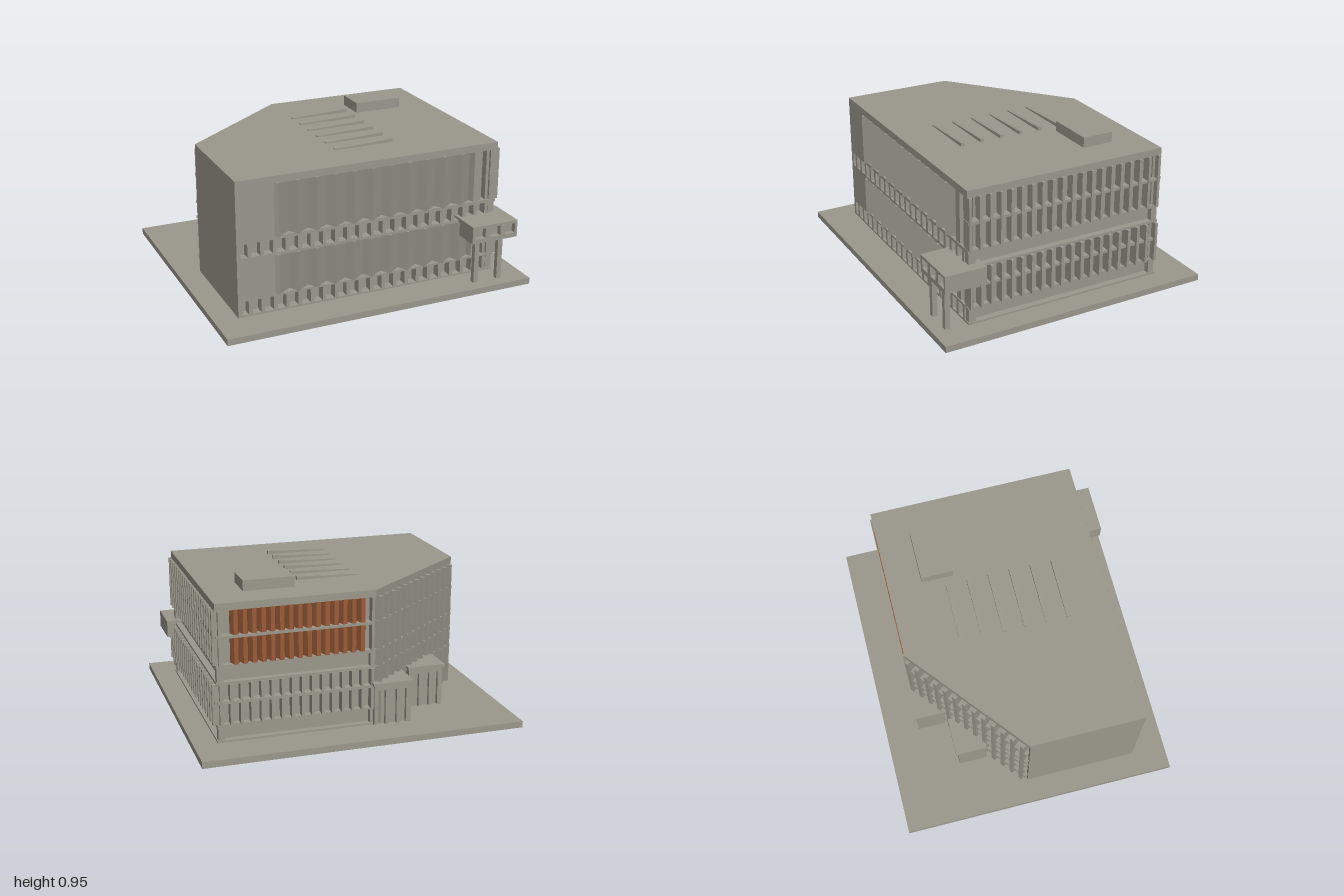
import * as THREE from 'three';

export function createModel() {
  const model = new THREE.Group();
  const concrete = new THREE.MeshStandardMaterial({ color: 0x9b988c });
  concrete.name = 'warm grey';
  const timber = new THREE.MeshStandardMaterial({ color: 0x9a5c38 });
  timber.name = 'brown';

  const add = (name, geo, parent = model, mat = concrete) => {
    const m = new THREE.Mesh(geo, mat);
    m.name = name;
    parent.add(m);
    return m;
  };
  // Box given by its limits on each axis
  const box = (name, x0, x1, y0, y1, z0, z1, parent, mat) => {
    const g = new THREE.BoxGeometry(x1 - x0, y1 - y0, z1 - z0);
    g.translate((x0 + x1) / 2, (y0 + y1) / 2, (z0 + z1) / 2);
    return add(name, g, parent, mat);
  };
  // Upright prism over a plan outline of [x, z] points
  const prism = (name, pts, y0, y1, parent, mat) => {
    const shape = new THREE.Shape(pts.map(([x, z]) => new THREE.Vector2(x, -z)));
    const g = new THREE.ExtrudeGeometry(shape, { depth: y1 - y0, bevelEnabled: false });
    g.rotateX(-Math.PI / 2);
    g.translate(0, y0, 0);
    return add(name, g, parent, mat);
  };
  const group = (name) => {
    const g = new THREE.Group();
    g.name = name;
    model.add(g);
    return g;
  };

  // Ground slab
  box('groundSlab', -1, 1, 0, 0.04, -0.88, 0.88);

  // Recessed core and full-size floor bands, all with one cut corner
  const outline = [[-0.855, -0.05], [-0.12, -0.645], [0.855, -0.645], [0.855, 0.66], [-0.855, 0.66]];
  const inner = [[-0.85, -0.015], [-0.11, -0.605], [0.815, -0.605], [0.815, 0.605], [-0.85, 0.605]];
  prism('core', inner, 0.04, 0.85);
  for (const [y0, y1] of [[0.04, 0.052], [0.14, 0.152], [0.4, 0.415], [0.5, 0.52]]) {
    prism('floorBand', outline, y0, y1);
  }
  prism('roof', outline, 0.845, 0.89);
  box('leftWall', -0.855, -0.83, 0.04, 0.85, -0.05, 0.66);

  // Tall and short storeys
  const tall = [[0.15, 0.402], [0.518, 0.847]];
  const low = [[0.05, 0.142], [0.413, 0.502]];
  const shelves = [0.29, 0.69];

  // Front: sawtooth panels, end wall and corner strip
  const front = group('frontFacade');
  const saw = [[-0.62, 0.59], [-0.62, 0.655]];
  for (let i = 0; i < 11; i++) {
    const x = -0.6 + i * 0.12;
    saw.push([x, 0.676], [x + 0.085, 0.617]);
  }
  saw.push([0.7, 0.655], [0.75, 0.655], [0.75, 0.59]);
  tall.forEach(([y0, y1], i) => {
    prism('sawtoothPanels', saw, y0, y1, front);
    box('frontEndWall', -0.855, -0.62, y0, y1, 0.59, 0.66, front);
    box('cornerPost', 0.785, 0.805, y0, y1, 0.59, 0.65, front);
    box('cornerShelf', 0.805, 0.865, shelves[i] - 0.01, shelves[i] + 0.01, 0.59, 0.66, front);
  });
  // Front: posts between the small openings
  for (const [y0, y1] of low) {
    for (let i = 0; i <= 20; i++) {
      const x = -0.777 + i * 0.0785;
      box('frontPost', x - 0.012, x + 0.012, y0, y1, 0.59, 0.66, front);
    }
  }

  // Right side: fins, shelves and end posts
  const right = group('rightFacade');
  tall.forEach(([y0, y1], i) => {
    const out = i ? 0.872 : 0.88;
    for (let k = 0; k < 20; k++) {
      const z = -0.625 + k * 0.067;
      box('rightFin', 0.81, out, y0, y1, z - 0.009, z + 0.009, right);
    }
    box('rightShelf', 0.81, 0.865, shelves[i] - 0.008, shelves[i] + 0.008, -0.64, 0.65, right);
  });
  for (const [y0, y1] of low) {
    box('rightEndPost', 0.81, 0.85, y0, y1, 0.61, 0.655, right);
    box('rightEndPost', 0.81, 0.85, y0, y1, -0.64, -0.6, right);
  }

  // Back: brown panels above, grey fins below and beside
  const back = group('backFacade');
  const pleats = [[0.76, -0.595], [-0.065, -0.595]];
  for (let i = 0; i < 15; i++) {
    const x = -0.065 + i * 0.055;
    pleats.push([x, -0.61], [x + 0.015, -0.65], [x + 0.04, -0.65]);
  }
  pleats.push([0.76, -0.61]);
  prism('brownPanels', pleats, 0.518, 0.847, back, timber);
  tall.forEach(([y0, y1], i) => {
    for (let k = 0; k < 16; k++) {
      const x = -0.1 + k * 0.062;
      if (i && x > -0.06 && x < 0.77) continue;
      box('backFin', x - 0.009, x + 0.009, y0, y1, -0.655, -0.6, back);
    }
    box('backShelf', -0.11, 0.85, shelves[i] - 0.008, shelves[i] + 0.008, -0.656, -0.6, back);
  });
  for (const [y0, y1] of low) {
    box('backEndPost', -0.12, -0.09, y0, y1, -0.64, -0.6, back);
  }

  // Cut corner: tall fins with cross shelves, built along local x
  const diagonal = group('diagonalFacade');
  diagonal.position.set(-0.855, 0, -0.05);
  diagonal.rotation.y = Math.atan2(0.595, 0.735);
  for (let k = 0; k < 13; k++) {
    const x = 0.045 + k * 0.0725;
    box('diagonalFin', x - 0.013, x + 0.013, 0.05, 0.847, -0.025, 0.04, diagonal);
  }
  for (const y of [0.146, 0.29, 0.407, 0.51, 0.69]) {
    box('diagonalShelf', 0.01, 0.935, y - 0.009, y + 0.009, -0.016, 0.04, diagonal);
  }

  // Two small porches at the cut corner
  for (const [x0, x1, z0, z1] of [[-0.65, -0.405, -0.47, -0.27], [-0.355, -0.1, -0.68, -0.48]]) {
    const porch = group('porch');
    box('porchRoof', x0, x1, 0.295, 0.312, z0, z1, porch);
    box('porchBody', x0 + 0.01, x1 - 0.01, 0.04, 0.295, z0 + 0.035, z1, porch);
    box('porchSide', x0 + 0.01, x0 + 0.04, 0.04, 0.295, z0 + 0.015, z1, porch);
    box('porchHead', x0 + 0.01, x1 - 0.01, 0.26, 0.295, z0 + 0.015, z1, porch);
    for (let i = 1; i <= 3; i++) {
      const x = x0 + 0.02 + i * (x1 - x0 - 0.04) / 3;
      box('porchPost', x - 0.01, x + 0.01, 0.04, 0.26, z0 + 0.015, z0 + 0.05, porch);
    }
  }

  // Entrance canopy with three openings in its front, on two columns
  const canopy = group('entranceCanopy');
  box('canopyBody', 0.6, 0.915, 0.32, 0.43, 0.57, 0.8, canopy);
  const face = new THREE.Shape();
  face.moveTo(0.6, 0.32).lineTo(0.915, 0.32).lineTo(0.915, 0.43).lineTo(0.6, 0.43).closePath();
  for (const x of [0.62, 0.725, 0.828]) {
    const hole = new THREE.Path();
    hole.moveTo(x, 0.348).lineTo(x, 0.412).lineTo(x + 0.07, 0.412).lineTo(x + 0.07, 0.348).closePath();
    face.holes.push(hole);
  }
  const faceGeo = new THREE.ExtrudeGeometry(face, { depth: 0.035, bevelEnabled: false });
  faceGeo.translate(0, 0, 0.8);
  add('canopyFront', faceGeo, canopy);
  for (const x of [0.655, 0.82]) {
    box('canopyColumn', x - 0.016, x + 0.016, 0.04, 0.32, 0.77, 0.802, canopy);
  }

  // Roof box and sloping roof ribs
  box('roofBox', 0.32, 0.635, 0.885, 0.955, -0.435, -0.235);
  for (let i = 0; i < 6; i++) {
    const wedge = new THREE.Shape();
    wedge.moveTo(-0.12, 0.885).lineTo(0.265, 0.885).lineTo(0.265, 0.912).lineTo(-0.12, 0.897).closePath();
    const g = new THREE.ExtrudeGeometry(wedge, { depth: 0.024, bevelEnabled: false });
    g.translate(0, 0, -0.297 + i * 0.134);
    add('roofRib', g);
  }
  return model;
}
